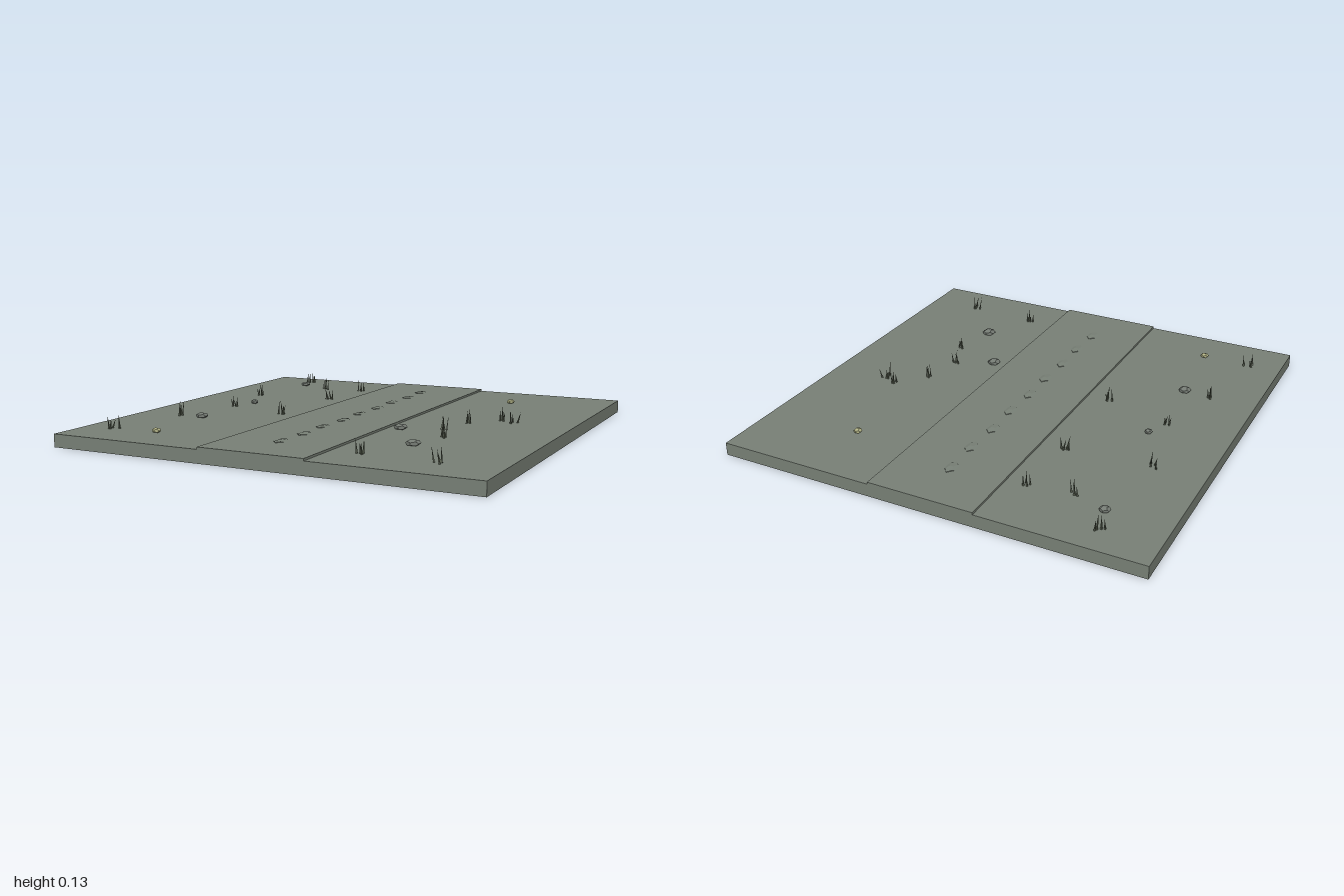
import * as THREE from 'three';

const mat = (name, color) => {
  const m = new THREE.MeshStandardMaterial({ color, flatShading: true });
  m.name = name;
  return m;
};

export function createModel() {
  const root = new THREE.Group();
  root.name = 'groundTile';
  const ground = mat('mossy grey', 0x788076);
  const stone = mat('stone grey', 0x757b74);
  const grass = mat('dull grass', 0x5c6453);
  const pale = mat('pale yellow', 0xb0b184);

  const add = (name, geo, material, x, y, z, parent = root) => {
    const m = new THREE.Mesh(geo, material);
    m.name = name;
    m.position.set(x, y, z);
    parent.add(m);
    return m;
  };

  // Ground slab and slightly raised path
  add('groundSlab', new THREE.BoxGeometry(2, 0.06, 2), ground, 0, 0.03, 0);
  add('path', new THREE.BoxGeometry(0.5, 0.012, 2), ground, 0, 0.064, 0);

  // Low worn lumps down the middle of the path
  const lump = new THREE.DodecahedronGeometry(1);
  for (let i = 0; i < 9; i++) {
    add('pathLump', lump, ground, i % 2 ? 0.004 : -0.004, 0.07, -0.74 + i * 0.185)
      .scale.set(0.027, 0.006, 0.05);
  }

  // Squashed rocks and pale pebbles: x, z, radius
  const rock = new THREE.DodecahedronGeometry(1);
  const scatter = (name, material, list) => list.forEach(([x, z, r]) =>
    add(name, rock, material, x, 0.071, z).scale.set(r, Math.max(r * 0.45, 0.012), r));
  scatter('rock', stone, [
    [0.315, 0.23, 0.032], [0.51, 0.535, 0.034], [-0.65, 0.375, 0.03],
    [-0.71, -0.74, 0.025], [-0.64, -0.08, 0.018],
  ]);
  scatter('palePebble', pale, [[0.53, -0.66, 0.02], [-0.613, 0.78, 0.02]]);

  // Grass tufts made of thin leaning blades
  let seed = 7;
  const rand = () => (seed = (seed * 16807) % 2147483647) / 2147483647;
  const blade = new THREE.ConeGeometry(0.005, 1, 4);
  blade.translate(0, 0.5, 0);
  const tufts = [
    [-0.74, -0.87], [-0.55, -0.68], [-0.35, -0.7], [-0.365, -0.37], [-0.76, -0.34],
    [-0.68, 0.02], [-0.365, 0.12], [-0.78, 0.37], [-0.84, 0.79], [0.66, -0.18],
    [0.715, -0.135], [0.535, -0.05], [0.49, 0.16], [0.55, 0.33], [0.38, 0.79], [0.73, 0.81],
  ];
  for (const [x, z] of tufts) {
    const tuft = new THREE.Group();
    tuft.name = 'grassTuft';
    tuft.position.set(x, 0.059, z);
    root.add(tuft);
    for (let i = 0; i < 4; i++) {
      const b = add('grassBlade', blade, grass,
        (rand() - 0.5) * 0.04, 0, (rand() - 0.5) * 0.04, tuft);
      b.scale.y = 0.04 + rand() * 0.035;
      b.rotation.set((rand() - 0.5) * 0.5, rand() * 3, (rand() - 0.5) * 0.5);
    }
  }
  return root;
}
